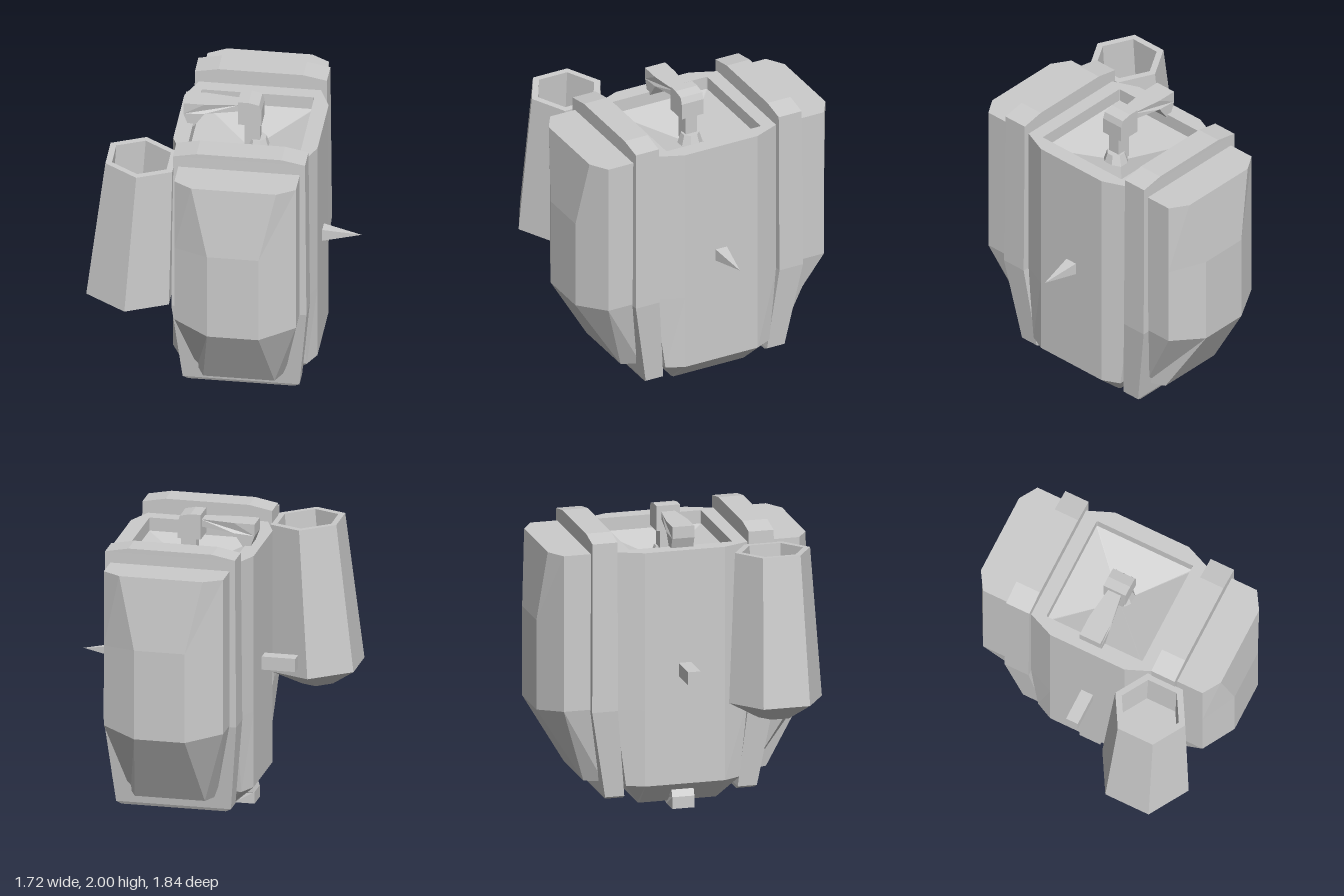
import * as THREE from 'three';

const material = new THREE.MeshStandardMaterial({ color: 0xcccccc, flatShading: true });

function part(name, geometry, parent) {
  const mesh = new THREE.Mesh(geometry, material);
  mesh.name = name;
  parent.add(mesh);
  return mesh;
}

// Skin a stack of rings (bottom to top, each running from +x towards +z) and close both ends.
function loft(rings, topApexDrop = 0) {
  const out = [];
  const n = rings[0].length;
  const centre = (ring, drop) => {
    const c = [0, 0, 0];
    ring.forEach(p => p.forEach((v, k) => { c[k] += v / n; }));
    c[1] -= drop;
    return c;
  };
  const bottom = rings[0], top = rings[rings.length - 1];
  const bc = centre(bottom, 0), tc = centre(top, topApexDrop);
  for (let j = 0; j < n; j++) {
    const k = (j + 1) % n;
    for (let i = 0; i < rings.length - 1; i++) {
      const a = rings[i][j], b = rings[i][k], c = rings[i + 1][k], d = rings[i + 1][j];
      out.push(a, d, b, b, d, c);
    }
    out.push(bc, bottom[j], bottom[k], tc, top[k], top[j]);
  }
  const g = new THREE.BufferGeometry();
  g.setAttribute('position', new THREE.Float32BufferAttribute(out.flat(), 3));
  g.computeVertexNormals();
  return g;
}

// Eight-sided ring: flat sides at x = +-h, flat ends at z = +-zo
const octRing = (y, h, zi, c, zo) => [
  [h, y, zi], [c, y, zo], [-c, y, zo], [-h, y, zi],
  [-h, y, -zi], [-c, y, -zo], [c, y, -zo], [h, y, -zi]];

// Pouch ring: square at the back, chamfered towards the front panel
const pouchRing = (y, hx, zb, zs, hf, zf, yf = y) => [
  [hx, y, zb], [hx, y, zs], [hf, yf, zf], [-hf, yf, zf], [-hx, y, zs], [-hx, y, zb]];

const boxRing = (y, h, z0, z1) => [[h, y, z0], [h, y, z1], [-h, y, z1], [-h, y, z0]];

function extrudeProfile(points, halfDepth) {
  const shape = new THREE.Shape(points.map(p => new THREE.Vector2(...p)));
  const g = new THREE.ExtrudeGeometry(shape, { depth: 2 * halfDepth, bevelEnabled: false });
  return g.translate(0, 0, -halfDepth);
}

// Clasp with its origin at the middle height of the body
function createClasp(name) {
  const clasp = new THREE.Group();
  clasp.name = name;

  part('claspHead', extrudeProfile([
    [0.05, 0.83], [0.205, 0.83], [0.205, 0.94], [0.19, 0.985], [0.12, 1], [0.05, 1]], 0.08), clasp);

  // Lever with a hooked end, narrowing towards the head
  const lever = extrudeProfile([
    [-0.31, 0.88], [-0.28, 0.8], [-0.24, 0.79], [-0.17, 0.89],
    [0.06, 0.91], [0.06, 0.96], [-0.17, 0.96], [-0.31, 0.96]], 0.075);
  const p = lever.attributes.position;
  for (let i = 0; i < p.count; i++) if (p.getX(i) > 0) p.setZ(i, p.getZ(i) * 0.6);
  lever.computeVertexNormals();
  part('claspLever', lever, clasp);

  // Stem with a flared foot
  part('claspStem', new THREE.BoxGeometry(0.1, 0.2, 0.085).translate(0.14, 0.74, 0), clasp);
  part('claspFoot', new THREE.CylinderGeometry(0.06, 0.085, 0.08, 8)
    .rotateY(Math.PI / 8).translate(0.17, 0.66, 0), clasp);
  return clasp;
}

export function createModel() {
  const model = new THREE.Group();
  model.name = 'pack';

  // Central body with a sunken, funnel-shaped top
  part('body', loft([
    octRing(0.06, 0.3, 0.26, 0.285, 0.27),
    octRing(0.22, 0.475, 0.27, 0.42, 0.385),
    octRing(0.74, 0.475, 0.27, 0.4, 0.45),
    octRing(1.81, 0.475, 0.27, 0.4, 0.45),
    octRing(1.81, 0.37, 0.345, 0.365, 0.35),
    octRing(1.72, 0.37, 0.345, 0.365, 0.35)], 0.12), model).position.x = 0.125;

  // Pouch and strap at each end
  for (const [side, turn] of [['front', 0], ['back', Math.PI]]) {
    const end = new THREE.Group();
    end.name = side + 'End';
    end.position.x = 0.13;
    end.rotation.y = turn;
    part(side + 'Pouch', loft([
      pouchRing(0.22, 0.29, 0.42, 0.5, 0.235, 0.62),
      pouchRing(0.75, 0.4, 0.5, 0.8, 0.17, 0.92, 0.71),
      pouchRing(1.3, 0.4, 0.5, 0.8, 0.17, 0.92, 1.32),
      pouchRing(1.81, 0.4, 0.5, 0.8, 0.28, 0.875)]), end);
    part(side + 'Strap', loft([
      boxRing(0.12, 0.35, 0.385, 0.505),
      boxRing(0.14, 0.385, 0.385, 0.515),
      boxRing(0.74, 0.445, 0.445, 0.62),
      boxRing(1.885, 0.435, 0.445, 0.615),
      boxRing(1.915, 0.28, 0.445, 0.615)]), end);
    model.add(end);
  }

  // Clasps on top and underneath
  const topClasp = createClasp('topClasp');
  const bottomClasp = createClasp('bottomClasp');
  topClasp.position.y = bottomClasp.position.y = 1;
  bottomClasp.rotation.x = Math.PI;
  model.add(topClasp, bottomClasp);

  // Spike on one side, peg on the other
  part('sideSpike', new THREE.ConeGeometry(0.06, 0.26, 4)
    .rotateY(Math.PI / 4).rotateZ(-Math.PI / 2), model).position.set(0.725, 1, 0);
  part('sidePeg', new THREE.BoxGeometry(0.25, 0.09, 0.085), model).position.set(-0.45, 1, 0);

  // Six-sided open holder, leaning slightly towards the body
  const holder = part('holder', new THREE.LatheGeometry([
    [0, -0.61], [0.12, -0.61], [0.315, -0.5], [0.255, 0.5],
    [0.208, 0.5], [0.208, 0.2], [0, 0.2]].map(p => new THREE.Vector2(...p)), 6), model);
  holder.position.set(-0.557, 1.317, 0.545);
  holder.rotation.z = -0.07;

  return model;
}
